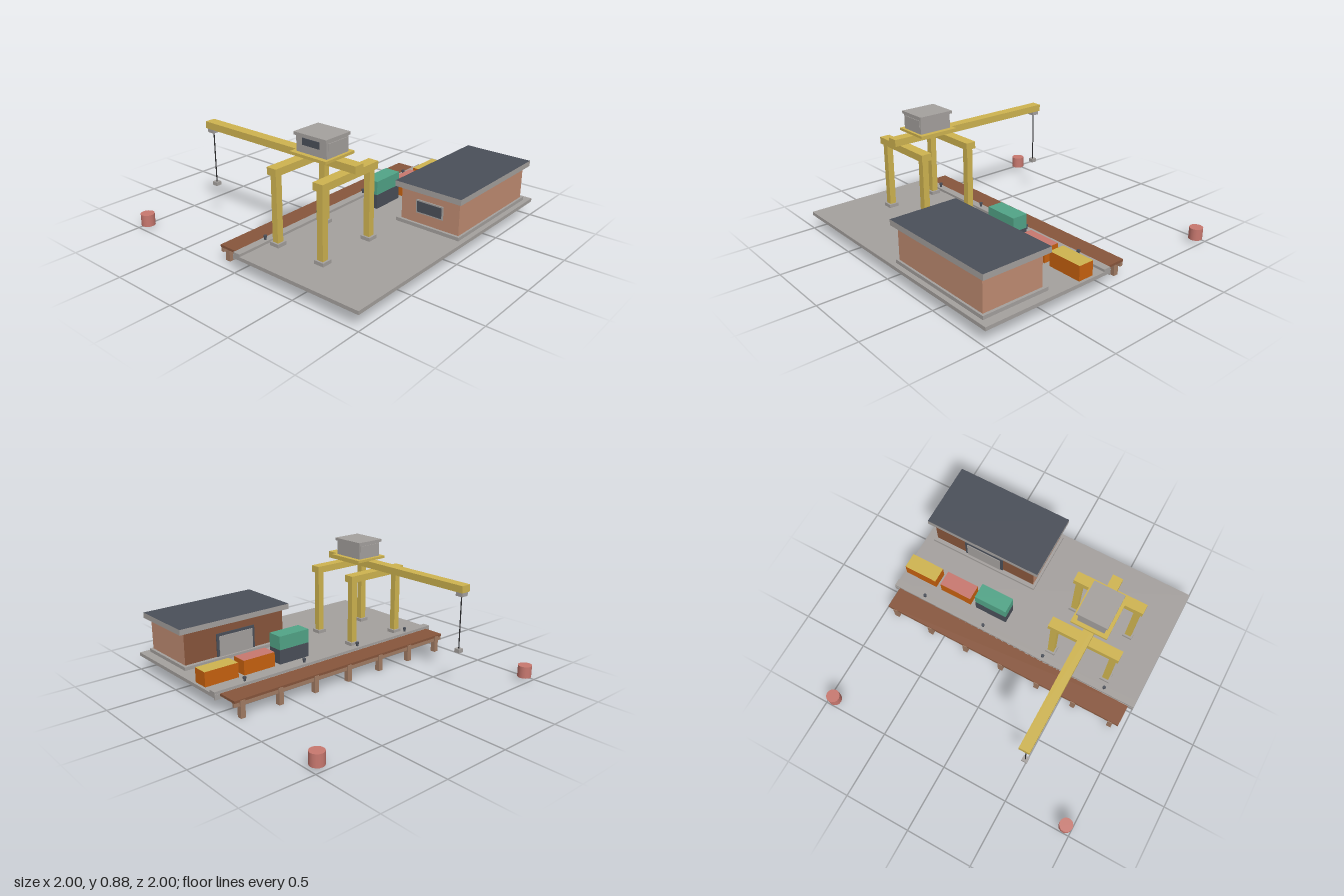
import * as THREE from 'three';

const mat = (name, color) => {
  const m = new THREE.MeshStandardMaterial({ color });
  m.name = name;
  return m;
};

export function createModel() {
  const root = new THREE.Group();
  root.name = 'harbourDock';

  const gray = mat('concrete gray', 0xa5a19e);
  const yellow = mat('crane yellow', 0xcfb450);
  const salmon = mat('brick', 0xc08c72);
  const brown = mat('deck brown', 0x88563c);
  const timber = mat('pile timber', 0xa27c64);
  const slate = mat('slate', 0x4a4f59);
  const green = mat('container green', 0x52a588);
  const red = mat('buoy red', 0xc8786f);
  const orange = mat('container orange', 0xc8620f);
  const black = mat('cable black', 0x2b2b2d);

  const group = (name) => {
    const g = new THREE.Group();
    g.name = name;
    root.add(g);
    return g;
  };
  // Box given by its minimum and maximum on each axis
  const box = (parent, name, material, [x0, x1], [y0, y1], [z0, z1]) => {
    const mesh = new THREE.Mesh(new THREE.BoxGeometry(x1 - x0, y1 - y0, z1 - z0), material);
    mesh.position.set((x0 + x1) / 2, (y0 + y1) / 2, (z0 + z1) / 2);
    mesh.name = name;
    parent.add(mesh);
    return mesh;
  };
  const cylinder = (parent, name, material, r, [y0, y1], x, z, sides = 16) => {
    const mesh = new THREE.Mesh(new THREE.CylinderGeometry(r, r, y1 - y0, sides), material);
    mesh.position.set(x, (y0 + y1) / 2, z);
    mesh.name = name;
    parent.add(mesh);
  };
  // Face order of a box: +x, -x, top, bottom, +z, -z
  const topped = (side, top) => [side, side, top, side, side, side];
  const around = (c, half) => [c - half, c + half];

  // Quay slab with kerb and mooring posts
  const quay = group('quay');
  box(quay, 'quaySlab', gray, [-1, 1], [0.105, 0.13], [0, 1]);
  box(quay, 'quayKerb', gray, [-1, 1], [0.13, 0.148], [0, 0.055]);
  box(quay, 'quayFascia', gray, [-1, 1], [0.092, 0.13], [-0.004, 0.004]);
  for (const x of [-0.75, -0.25, 0.25, 0.75]) {
    cylinder(quay, 'mooringPost', slate, 0.008, [0.148, 0.165], x, 0.028, 12);
    cylinder(quay, 'mooringPostCap', slate, 0.012, [0.165, 0.178], x, 0.028, 12);
  }

  // Timber jetty on piles
  const jetty = group('jetty');
  box(jetty, 'jettyDeck', brown, [-0.96, 0.96], [0.113, 0.13], [-0.165, 0]);
  box(jetty, 'jettyBeam', timber, [-0.96, 0.96], [0.083, 0.113], [-0.16, -0.14]);
  for (let i = -3; i <= 3; i++) {
    box(jetty, 'pile', timber, around(i * 0.3, 0.018), [0, 0.122], [-0.17, -0.132]);
  }

  // Warehouse
  const house = group('warehouse');
  box(house, 'plinth', gray, [0.06, 0.935], [0.13, 0.155], [0.47, 0.965]);
  box(house, 'walls', [salmon, salmon, salmon, salmon, salmon, brown],
    [0.08, 0.915], [0.155, 0.39], [0.5, 0.95]);
  box(house, 'roof', topped(gray, slate), [0.04, 0.958], [0.39, 0.43], [0.47, 0.98]);
  box(house, 'doorFrame', slate, [0.34, 0.66], [0.155, 0.325], [0.492, 0.5]);
  box(house, 'door', gray, [0.36, 0.64], [0.155, 0.305], [0.486, 0.492]);
  box(house, 'windowFrame', gray, [0.072, 0.08], [0.23, 0.325], [0.62, 0.83]);
  box(house, 'windowPane', slate, [0.069, 0.072], [0.24, 0.315], [0.63, 0.82]);

  // Cargo containers
  const cargo = group('containers');
  const cz = [0.14, 0.257];
  box(cargo, 'lowerContainer', slate, [0.12, 0.375], [0.13, 0.235], cz);
  box(cargo, 'upperContainer', green, [0.12, 0.375], [0.235, 0.335], cz);
  box(cargo, 'redTopContainer', topped(orange, red), [0.42, 0.675], [0.13, 0.235], cz);
  box(cargo, 'yellowTopContainer', topped(orange, yellow), [0.72, 0.98], [0.13, 0.235], cz);

  // Crane portal: two cross beams on four legs
  const crane = group('crane');
  for (const z of [0.118, 0.497]) {
    for (const x of [-0.725, -0.28]) {
      box(crane, 'craneFoot', gray, around(x, 0.037), [0.13, 0.155], around(z, 0.037));
      box(crane, 'craneLeg', yellow, around(x, 0.024), [0.155, 0.615], around(z, 0.023));
    }
    box(crane, 'crossBeam', yellow, [-0.765, -0.24], [0.615, 0.665], around(z, 0.038));
  }

  // Boom, cab platform and cab
  box(crane, 'boom', yellow, around(-0.503, 0.038), [0.68, 0.73], [-0.75, 0.597]);
  box(crane, 'cabPlatform', yellow, around(-0.5, 0.134), [0.73, 0.748], around(0.298, 0.148));
  box(crane, 'cab', gray, around(-0.502, 0.1), [0.748, 0.855], around(0.302, 0.124));
  box(crane, 'cabRoof', gray, around(-0.502, 0.113), [0.855, 0.875], around(0.3, 0.133));
  for (const z of [0.177, 0.427]) {
    box(crane, 'cabWindow', gray, around(-0.502, 0.09), [0.8, 0.845], around(z, 0.004));
  }
  box(crane, 'cabSideWindow', slate, [-0.607, -0.602], [0.8, 0.845], [0.23, 0.37]);

  // Trolley, cable and hook block
  box(crane, 'trolley', gray, around(-0.503, 0.028), [0.65, 0.68], around(-0.715, 0.028));
  cylinder(crane, 'cable', black, 0.004, [0.275, 0.65], -0.503, -0.715, 8);
  box(crane, 'hookBlock', gray, around(-0.503, 0.021), [0.25, 0.277], around(-0.715, 0.021));

  // Buoys
  for (const x of [-0.95, 0.95]) {
    cylinder(root, 'buoy', red, 0.049, [0.025, 0.11], x, -0.951);
  }
  return root;
}
